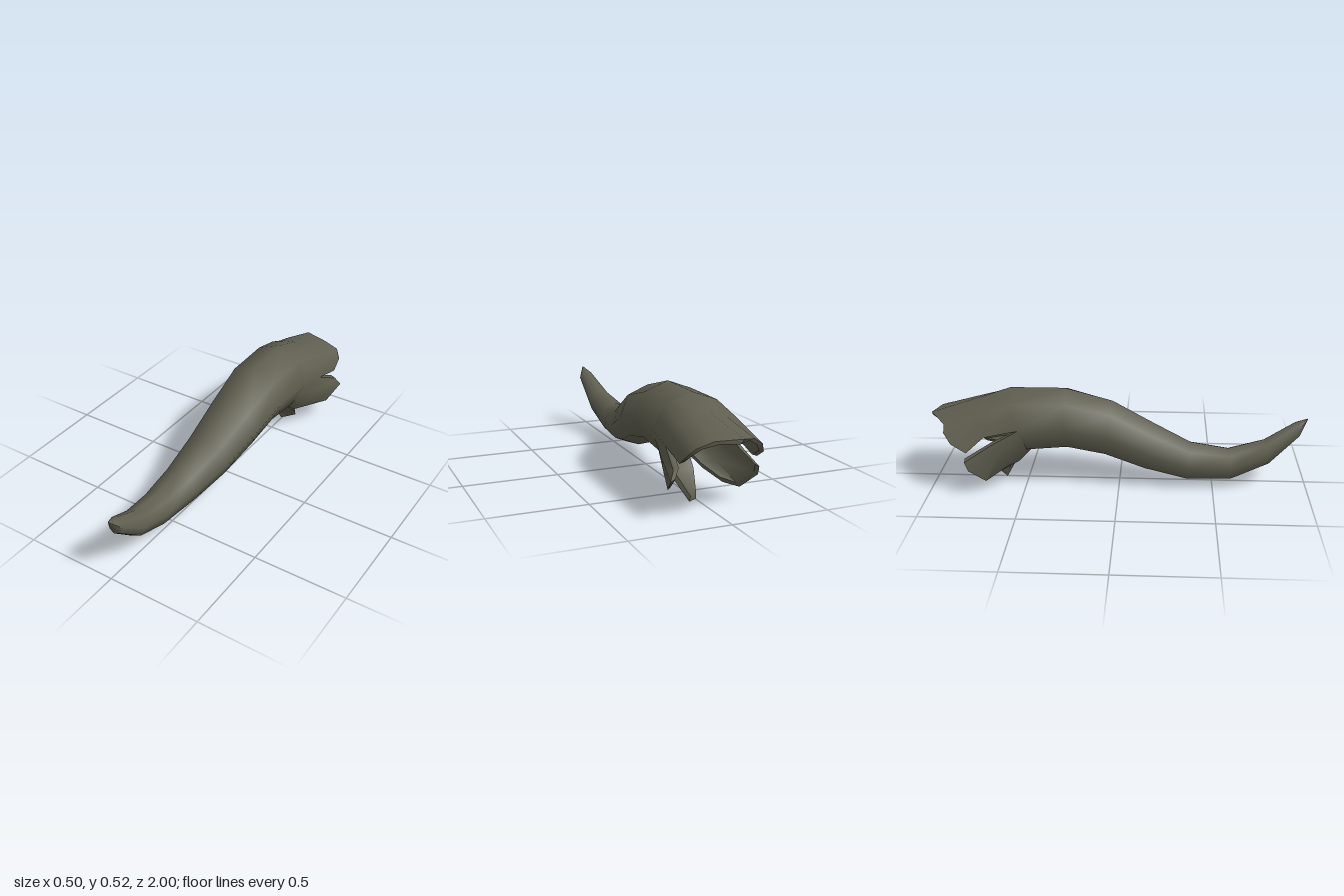
import * as THREE from 'three';
import { toCreasedNormals } from 'three/addons/utils/BufferGeometryUtils.js';

const V = (x, y, z) => new THREE.Vector3(x, y, z);
const SIDES = 8;

// Each ring: top y, top z, bottom y, bottom z, right x, left x
const RINGS = [
  [0.365, 0.998, 0.362, 0.998, 0.013, 0.018],
  [0.345, 0.93, 0.265, 0.96, -0.03, 0.052],
  [0.255, 0.77, 0.115, 0.8, -0.085, 0.05],
  [0.21, 0.58, 0.035, 0.6, -0.128, 0.045],
  [0.24, 0.38, 0.028, 0.36, -0.145, 0.07],
  [0.33, 0.19, 0.075, 0.13, -0.147, 0.125],
  [0.45, -0.04, 0.145, -0.08, -0.152, 0.168],
  [0.52, -0.29, 0.188, -0.27, -0.18, 0.182],
  [0.52, -0.58, 0.17, -0.47, -0.192, 0.19],
];

function ringPoint([ty, tz, by, bz, xl, xr], k) {
  const a = (k / SIDES) * Math.PI * 2;
  const c = Math.cos(a) / 2, s = Math.sin(a) / 2;
  return V((xl + xr) / 2 + s * (xr - xl), (ty + by) / 2 + c * (ty - by), (tz + bz) / 2 + c * (tz - bz));
}

// Point on the straight-sided rim of the body, at an angle in degrees
function rootPoint(deg) {
  const k = deg / 45, k0 = Math.floor(k);
  const rim = RINGS[RINGS.length - 1];
  return ringPoint(rim, k0).lerp(ringPoint(rim, k0 + 1), k - k0);
}

// Shift a point towards the axis to give the hide its thickness
function inward(p) {
  const d = V(-p.x, 0.33 - p.y, 0);
  return p.clone().addScaledVector(d.normalize(), 0.028);
}

function quad(out, a, b, c, d) {
  for (const p of [a, b, c, b, d, c]) out.push(p.x, p.y, p.z);
}

// Skin a list of closed loops
function loft(out, loops) {
  for (let i = 0; i + 1 < loops.length; i++) {
    const A = loops[i], B = loops[i + 1], n = A.length;
    for (let j = 0; j < n; j++) quad(out, A[j], A[(j + 1) % n], B[j], B[(j + 1) % n]);
  }
}

// Torn flap: root angles, then middle and end rows of points
function flap(out, angles, ...rows) {
  const outer = [angles.map(rootPoint), ...rows.map((r) => r.map((p) => V(...p)))];
  const inner = outer.map((r) => r.map(inward));
  loft(out, outer.map((r, i) => [...r, ...inner[i].slice().reverse()]));
  const o = outer[outer.length - 1], n = inner[inner.length - 1];
  for (let j = 0; j + 1 < o.length; j++) quad(out, o[j], o[j + 1], n[j], n[j + 1]);
}

export function createModel() {
  const group = new THREE.Group();
  group.name = 'tornTail';
  const hide = new THREE.MeshStandardMaterial({ color: 0x5f5e4f, side: THREE.DoubleSide });
  hide.name = 'darkOliveHide';

  // Curved tapering body
  const skin = [];
  const loops = RINGS.map((r) => Array.from({ length: SIDES }, (_, k) => ringPoint(r, k)));
  loft(skin, loops);

  // Top flap
  flap(skin, [-90, -68, -45, -22, 0, 22, 45, 68, 90],
    [[-0.2, 0.31, -0.7], [-0.18, 0.37, -0.72], [-0.145, 0.425, -0.73], [-0.07, 0.45, -0.74], [0, 0.463, -0.74],
      [0.07, 0.45, -0.74], [0.145, 0.425, -0.73], [0.177, 0.37, -0.72], [0.195, 0.31, -0.7]],
    [[-0.235, 0.235, -0.79], [-0.225, 0.28, -0.87], [-0.195, 0.33, -0.91], [-0.15, 0.36, -0.915], [-0.05, 0.39, -1],
      [0.08, 0.385, -0.97], [0.165, 0.36, -0.965], [0.198, 0.32, -0.935], [0.202, 0.27, -0.87]]);

  // Left side flap
  flap(skin, [90, 110, 130, 150],
    [[0.195, 0.31, -0.7], [0.2, 0.24, -0.67], [0.165, 0.17, -0.6], [0.11, 0.135, -0.56]],
    [[0.222, 0.235, -0.85], [0.247, 0.19, -0.875], [0.213, 0.118, -0.77], [0.15, 0.13, -0.68]]);

  // Bottom flap
  flap(skin, [150, 170, 190],
    [[0.11, 0.12, -0.57], [0.045, 0.11, -0.56], [-0.02, 0.11, -0.56]],
    [[0.06, 0.012, -0.68], [0.03, 0.006, -0.65], [-0.005, 0, -0.62]]);

  // Right side flap
  flap(skin, [190, 215, 245, 270],
    [[-0.075, 0.125, -0.54], [-0.145, 0.14, -0.57], [-0.2, 0.21, -0.63], [-0.205, 0.27, -0.66]],
    [[-0.13, 0.078, -0.65], [-0.197, 0.06, -0.7], [-0.25, 0.14, -0.78], [-0.245, 0.185, -0.8]]);

  // Hollow lining behind the flaps
  const lining = [];
  const rim = loops[loops.length - 1].map(inward);
  const deep = rim.map((p) => p.clone().lerp(V(0, 0.35, -0.36), 0.55).setZ(-0.4));
  loft(lining, [rim, deep, rim.map(() => V(0, 0.35, -0.34))]);

  for (const [name, pts] of [['tailBody', skin], ['tornHollow', lining]]) {
    const geo = new THREE.BufferGeometry();
    geo.setAttribute('position', new THREE.Float32BufferAttribute(pts, 3));
    const mesh = new THREE.Mesh(toCreasedNormals(geo, 0.9), hide);
    mesh.name = name;
    group.add(mesh);
  }
  return group;
}
